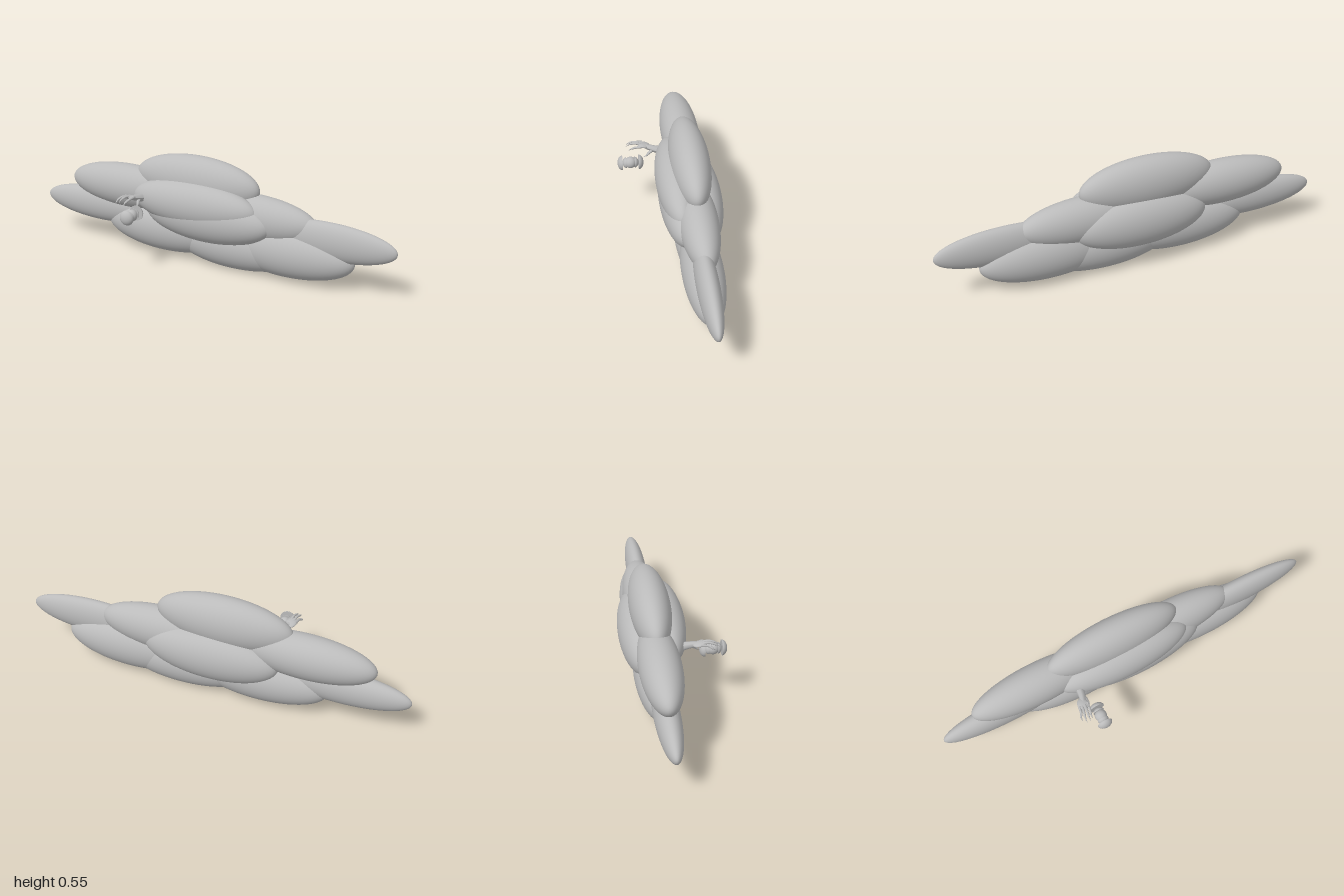
import * as THREE from 'three';

export function createModel() {
  const model = new THREE.Group();
  const grey = new THREE.MeshStandardMaterial({ color: 0xbbbbbb });

  const add = (parent, name, geometry) => {
    const mesh = new THREE.Mesh(geometry, grey);
    mesh.name = name;
    parent.add(mesh);
    return mesh;
  };
  const group = (name) => {
    const g = new THREE.Group();
    g.name = name;
    model.add(g);
    return g;
  };

  // Cloud: overlapping stretched puffs [name, centre, radii]
  const cloud = group('cloud');
  const puffs = [
    ['topPuff', [-0.065, 0.415, -0.095], [0.35, 0.135, 0.099]],
    ['upperRightPuff', [-0.475, 0.328, -0.095], [0.35, 0.115, 0.099]],
    ['upperLeftPuff', [0.245, 0.285, -0.097], [0.35, 0.118, 0.097]],
    ['rightTipPuff', [-0.65, 0.2, -0.09], [0.35, 0.09, 0.06]],
    ['leftTipPuff', [0.65, 0.24, -0.087], [0.35, 0.096, 0.052]],
    ['frontUpperPuff', [-0.042, 0.32, -0.025], [0.35, 0.12, 0.1]],
    ['frontLowerPuff', [0.03, 0.26, -0.033], [0.35, 0.125, 0.1]],
    ['backPuff', [-0.01, 0.243, -0.147], [0.35, 0.132, 0.1]],
    ['bottomRightPuff', [-0.25, 0.14, -0.095], [0.35, 0.122, 0.099]],
    ['bottomMiddlePuff', [0.155, 0.12, -0.095], [0.35, 0.12, 0.099]],
    ['bottomLeftPuff', [0.442, 0.14, -0.095], [0.35, 0.125, 0.099]],
  ];
  const puffShape = new THREE.SphereGeometry(1, 64, 40);
  for (const [name, centre, radii] of puffs) {
    const puff = add(cloud, name, puffShape);
    puff.position.set(...centre);
    puff.scale.set(...radii);
  }

  // Tube along points whose radius follows a list of values
  const taperedTube = (points, radii) => {
    const curve = new THREE.CatmullRomCurve3(points.map((p) => new THREE.Vector3(...p)));
    const rings = 16, sides = 8;
    const geo = new THREE.TubeGeometry(curve, rings, 1, sides, false);
    const pos = geo.attributes.position;
    const v = new THREE.Vector3();
    for (let i = 0; i <= rings; i++) {
      const centre = curve.getPointAt(i / rings);
      const t = (i / rings) * (radii.length - 1);
      const k = Math.min(Math.floor(t), radii.length - 2);
      const r = THREE.MathUtils.lerp(radii[k], radii[k + 1], t - k);
      for (let j = 0; j <= sides; j++) {
        const n = i * (sides + 1) + j;
        v.fromBufferAttribute(pos, n).sub(centre).multiplyScalar(r).add(centre);
        pos.setXYZ(n, v.x, v.y, v.z);
      }
    }
    geo.computeVertexNormals();
    return geo;
  };

  // Hand reaching forward out of the cloud
  const hand = group('hand');
  add(hand, 'wrist', taperedTube(
    [[-0.308, 0.322, 0.02], [-0.315, 0.333, 0.06], [-0.326, 0.343, 0.1], [-0.335, 0.35, 0.125]],
    [0.022, 0.018, 0.014, 0.008]));
  const palm = add(hand, 'palm', new THREE.SphereGeometry(1, 20, 12));
  palm.position.set(-0.333, 0.347, 0.108);
  palm.scale.set(0.027, 0.01, 0.034);
  palm.rotation.x = -0.2;
  const fingers = [
    { x: -0.37, y: 0.33, z: 0.18 },
    { x: -0.355, y: 0.34, z: 0.198 },
    { x: -0.337, y: 0.341, z: 0.2 },
    { x: -0.321, y: 0.325, z: 0.188 },
  ];
  fingers.forEach(({ x, y, z }, i) => {
    const knuckle = -0.354 + i * 0.014;
    add(hand, 'finger', taperedTube(
      [[knuckle, 0.35, 0.112], [(knuckle + x) / 2, y + 0.018, 0.15], [x, y + 0.011, z - 0.02], [x, y, z]],
      [0.008, 0.0065, 0.0055, 0.0005]));
  });
  add(hand, 'thumb', taperedTube(
    [[-0.31, 0.328, 0.065], [-0.303, 0.313, 0.085], [-0.299, 0.3, 0.1], [-0.298, 0.295, 0.112]],
    [0.01, 0.008, 0.005, 0.0005]));

  // Spool of a ball between paired domes, strung along z
  const spool = group('spool');
  spool.position.set(-0.276, 0.282, 0.181);
  add(spool, 'ball', new THREE.SphereGeometry(0.03, 32, 20));
  const dome = (radius, depth) => {
    // Tiny step at the rim keeps it crisp
    const profile = [new THREE.Vector2(0, 0), new THREE.Vector2(radius * 0.995, 0)];
    for (let i = 0; i <= 12; i++) {
      const a = (i / 12) * Math.PI / 2;
      profile.push(new THREE.Vector2(i === 12 ? 0 : radius * Math.cos(a), depth * Math.sin(a)));
    }
    return new THREE.LatheGeometry(profile, 32);
  };
  const outerDome = dome(0.038, 0.026);
  const innerDome = dome(0.028, 0.02);
  for (const side of [1, -1]) {
    for (const [name, geo, z] of [['outerDome', outerDome, 0.041], ['innerDome', innerDome, 0.021]]) {
      const mesh = add(spool, name, geo);
      mesh.rotation.x = side * Math.PI / 2;
      mesh.position.z = side * z;
    }
  }

  return model;
}
